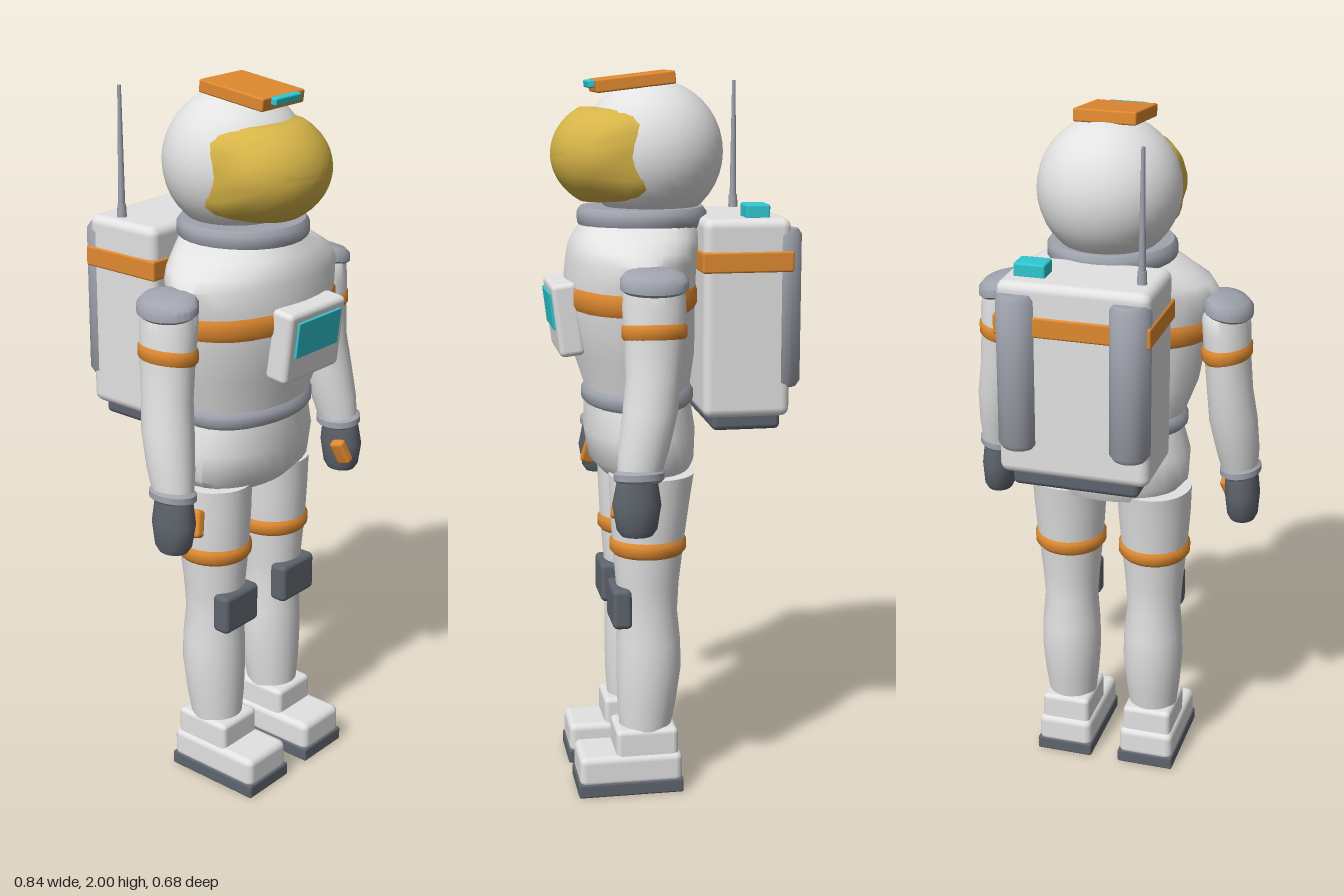
import * as THREE from 'three';
import { toCreasedNormals } from 'three/addons/utils/BufferGeometryUtils.js';
import { RoundedBoxGeometry } from 'three/addons/geometries/RoundedBoxGeometry.js';

const paint = (name, color) => {
  const m = new THREE.MeshStandardMaterial({ color });
  m.name = name;
  return m;
};

export function createModel() {
  const white = paint('suit white', 0xe2e2e2);
  const grey = paint('trim grey', 0xa0a4ae);
  const dark = paint('dark grey', 0x5f656e);
  const orange = paint('orange', 0xe08a30);
  const cyan = paint('cyan', 0x30c8d2);
  const gold = paint('visor gold', 0xd6b448);
  const model = new THREE.Group();
  model.name = 'astronaut';

  const add = (name, geo, mat, x = 0, y = 0, z = 0) => {
    const mesh = new THREE.Mesh(geo, mat);
    mesh.name = name;
    mesh.position.set(x, y, z);
    model.add(mesh);
    return mesh;
  };
  const box = (name, mat, w, h, d, x, y, z, r = 0.01) =>
    add(name, new RoundedBoxGeometry(w, h, d, 2, r), mat, x, y, z);

  // Skin over elliptical rings [x, y, z, rx, rz], bottom to top, closed at both ends
  const loft = (name, mat, rings, tilt = 0, n = 28) => {
    const pos = [], idx = [];
    const first = rings[0], last = rings[rings.length - 1];
    const all = [[...first.slice(0, 3), 0, 0], ...rings, [...last.slice(0, 3), 0, 0]];
    all.forEach(([x, y, z, rx, rz], j) => {
      for (let i = 0; i < n; i++) {
        const a = (i / n) * Math.PI * 2, dx = rx * Math.sin(a);
        pos.push(x + dx, y + dx * tilt, z + rz * Math.cos(a));
        if (j === all.length - 1) continue;
        const p = j * n + i, q = j * n + (i + 1) % n;
        if (j > 0) idx.push(p, q, p + n);
        if (j < all.length - 2) idx.push(q, q + n, p + n);
      }
    });
    const g = new THREE.BufferGeometry();
    g.setAttribute('position', new THREE.Float32BufferAttribute(pos, 3));
    g.setIndex(idx);
    return add(name, toCreasedNormals(g, 0.75), mat);
  };

  // Flat-sided band with softened edges
  const band = (name, mat, x, y, z, rx, rz, h, tilt = 0) => loft(name, mat, [
    [x, y - h / 2, z, rx - 0.01, rz - 0.01], [x, y - h / 4, z, rx, rz],
    [x, y + h / 4, z, rx, rz], [x, y + h / 2, z, rx - 0.01, rz - 0.01]], tilt);

  // Torso and pelvis
  loft('torso', white, [
    [0, 1.08, 0.085, 0.19, 0.14], [0, 1.14, 0.085, 0.205, 0.145], [0, 1.24, 0.095, 0.242, 0.168],
    [0, 1.36, 0.105, 0.262, 0.178], [0, 1.44, 0.105, 0.275, 0.18], [0, 1.5, 0.1, 0.29, 0.178],
    [0, 1.53, 0.095, 0.272, 0.178], [0, 1.56, 0.085, 0.225, 0.176], [0, 1.6, 0.07, 0.16, 0.165]]);
  band('chestBand', orange, 0, 1.4, 0.105, 0.276, 0.186, 0.07);
  band('belt', grey, 0, 1.12, 0.085, 0.215, 0.155, 0.05);
  loft('pelvis', white, [
    [0, 0.9, 0.065, 0.185, 0.12], [0, 0.94, 0.075, 0.222, 0.147], [0, 1.02, 0.08, 0.225, 0.155],
    [0, 1.1, 0.085, 0.2, 0.148]]);

  // Chest control panel, leaning forward at the top
  box('chestPanel', white, 0.236, 0.2, 0.07, 0, 1.342, 0.287, 0.015).rotation.x = 0.12;
  box('chestScreen', cyan, 0.178, 0.1, 0.009, 0, 1.362, 0.327, 0.002).rotation.x = 0.12;

  // Helmet
  band('neckRing', grey, 0, 1.61, 0.07, 0.178, 0.178, 0.055);
  add('helmet', new THREE.SphereGeometry(0.195, 36, 20), white, 0, 1.783, 0.042);

  // Bulging visor with a squared-off oval outline and a rim returning into the helmet
  const visorShape = () => {
    const n = 40, m = 10, pos = [], idx = [];
    for (let j = 0; j <= m + 1; j++) for (let i = 0; i < n; i++) {
      const a = (i / n) * Math.PI * 2, c = Math.cos(a), s = Math.sin(a);
      const r = Math.min(j, m) / m / Math.pow(c ** 4 + s ** 4, 0.25);
      const x = 0.178 * r * c, y = 0.125 * r * s;
      const f = Math.max(0, 1 - (x / 0.184) ** 2 - (y / 0.152) ** 2);
      pos.push(x, y, 0.135 + 0.183 * Math.sqrt(f) - (j > m ? 0.06 : 0));
      if (j > m) continue;
      const p = j * n + i, q = j * n + (i + 1) % n;
      idx.push(p, p + n, q + n);
      if (j > 0) idx.push(p, q + n, q);
    }
    const g = new THREE.BufferGeometry();
    g.setAttribute('position', new THREE.Float32BufferAttribute(pos, 3));
    g.setIndex(idx);
    return toCreasedNormals(g, 0.8);
  };
  add('visor', visorShape(), gold, 0, 1.778, 0);

  // Lamp on top of the helmet
  box('lampHousing', orange, 0.172, 0.035, 0.215, 0, 1.971, 0.096, 0.005).rotation.x = 0.115;
  box('lampLens', cyan, 0.105, 0.02, 0.025, 0, 1.965, 0.208, 0.004).rotation.x = 0.115;

  // Life-support backpack
  box('backpack', white, 0.414, 0.54, 0.24, 0, 1.345, -0.187, 0.025);
  box('backpackBase', dark, 0.35, 0.07, 0.19, 0, 1.07, -0.192, 0.015);
  box('backpackStrap', orange, 0.424, 0.056, 0.25, 0, 1.5, -0.187, 0.006);
  box('backpackButton', cyan, 0.086, 0.04, 0.066, 0.13, 1.63, -0.22, 0.006);
  add('antennaBase', new THREE.CylinderGeometry(0.012, 0.014, 0.04, 12), grey, -0.163, 1.63, -0.22);
  add('antenna', new THREE.CylinderGeometry(0.005, 0.01, 0.35, 10), grey, -0.163, 1.795, -0.22);

  for (const s of [-1, 1]) {
    const side = s > 0 ? 'left' : 'right';

    // Oxygen tank
    loft(side + 'Tank', grey, [
      [s * 0.153, 1.155, -0.288, 0.045, 0.045], [s * 0.153, 1.17, -0.288, 0.055, 0.055],
      [s * 0.153, 1.57, -0.288, 0.055, 0.055], [s * 0.153, 1.585, -0.288, 0.045, 0.045]]);

    // Arm
    loft(side + 'Arm', white, [
      [s * 0.362, 0.95, 0.137, 0.048, 0.056], [s * 0.355, 1.03, 0.122, 0.06, 0.067],
      [s * 0.343, 1.13, 0.102, 0.067, 0.073], [s * 0.333, 1.22, 0.092, 0.063, 0.073],
      [s * 0.325, 1.32, 0.087, 0.063, 0.08], [s * 0.32, 1.4, 0.087, 0.066, 0.084],
      [s * 0.315, 1.45, 0.087, 0.064, 0.082], [s * 0.305, 1.48, 0.087, 0.04, 0.05]], s * 0.1);
    band(side + 'ArmBand', orange, s * 0.322, 1.34, 0.087, 0.07, 0.086, 0.055, s * 0.1);
    band(side + 'Cuff', grey, s * 0.362, 0.965, 0.135, 0.058, 0.067, 0.035, s * 0.12);
    loft(side + 'ShoulderPad', grey, [
      [s * 0.322, 1.445, 0.087, 0.06, 0.08], [s * 0.322, 1.453, 0.087, 0.068, 0.09],
      [s * 0.322, 1.475, 0.087, 0.068, 0.09], [s * 0.318, 1.49, 0.087, 0.058, 0.078],
      [s * 0.312, 1.499, 0.087, 0.035, 0.048]], s * -0.16);

    // Glove
    loft(side + 'Glove', dark, [
      [s * 0.37, 0.808, 0.142, 0.036, 0.042], [s * 0.37, 0.825, 0.142, 0.044, 0.054],
      [s * 0.368, 0.89, 0.142, 0.05, 0.065], [s * 0.365, 0.955, 0.14, 0.046, 0.054]]);
    const thumb = box(side + 'Thumb', orange, 0.03, 0.075, 0.045, s * 0.322, 0.878, 0.178, 0.01);
    thumb.rotation.set(-0.25, 0, s * 0.35);

    // Leg
    const x = s * 0.127;
    loft(side + 'Leg', white, [
      [x, 0.17, 0.085, 0.07, 0.072], [x, 0.25, 0.08, 0.08, 0.083], [x, 0.35, 0.074, 0.088, 0.091],
      [x, 0.43, 0.074, 0.086, 0.09], [x, 0.52, 0.077, 0.078, 0.084], [x, 0.6, 0.077, 0.084, 0.088],
      [x, 0.72, 0.075, 0.096, 0.1], [x, 0.83, 0.07, 0.104, 0.11], [x, 0.915, 0.065, 0.107, 0.118]]);
    band(side + 'LegBand', orange, x, 0.715, 0.075, 0.104, 0.107, 0.05);
    box(side + 'KneePad', dark, 0.143, 0.115, 0.055, x, 0.543, 0.155, 0.015);

    // Boot
    box(side + 'BootCuff', white, 0.146, 0.09, 0.176, x, 0.143, 0.087, 0.015);
    box(side + 'Boot', white, 0.164, 0.09, 0.292, x, 0.072, 0.134, 0.02);
    box(side + 'Sole', dark, 0.17, 0.04, 0.298, x, 0.02, 0.135, 0.006);
  }
  return model;
}
